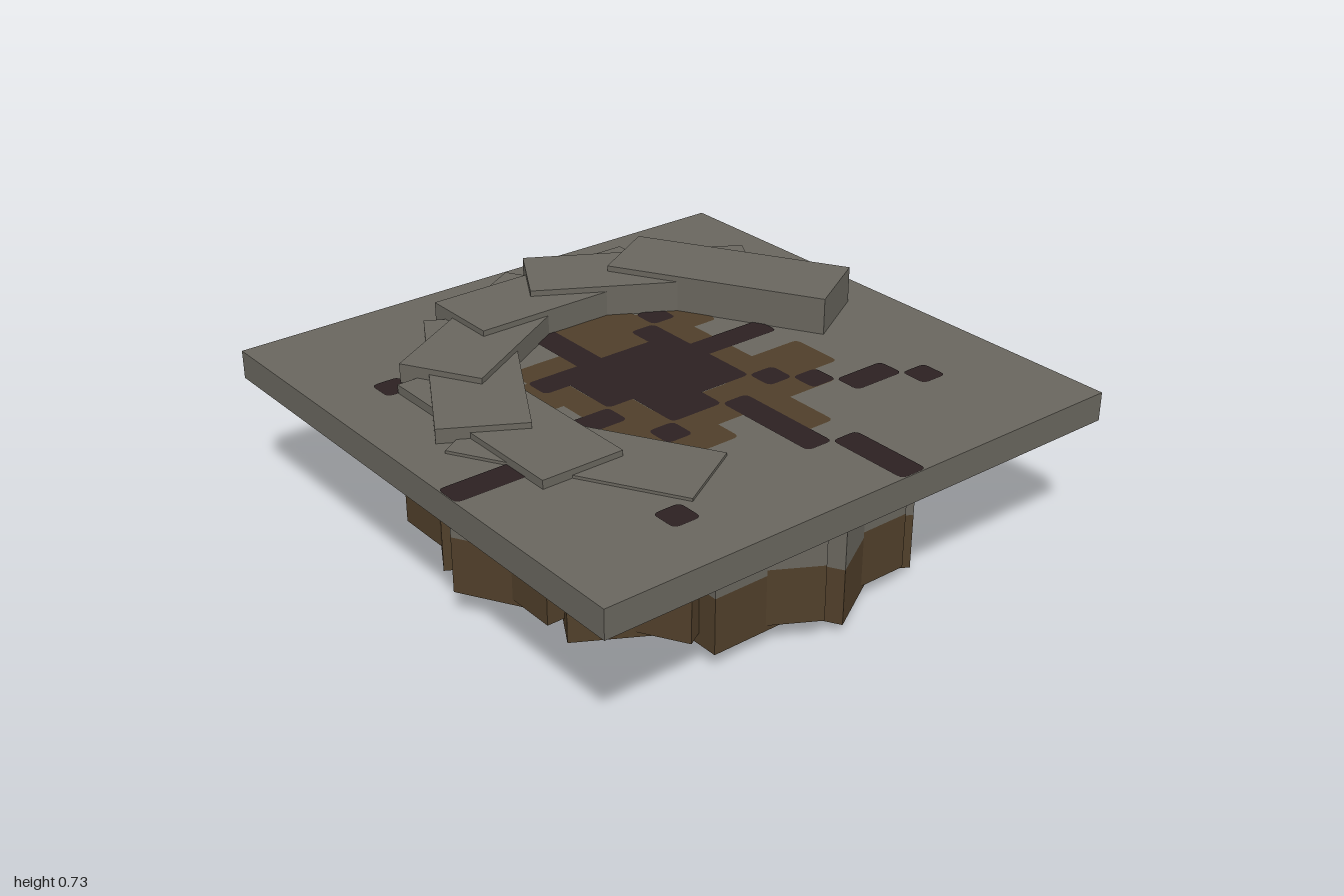
import * as THREE from 'three';
import { mergeGeometries } from 'three/addons/utils/BufferGeometryUtils.js';

// Stain map of the slab: 20 x 20 cells of 0.1, first row at the back (D dark, B brown)
const MAP = [
  '....................',
  '........D...........',
  '....................',
  '...............D....',
  '..............D.....',
  '.........D.BB.D.....',
  '......BB.D.BBD......',
  '......DBBDBBDB......',
  '.....BBDDDDDBBBB.DDD',
  '.....BBBDDDDBDDDD...',
  '.....BBBDDDDDB......',
  '.....DDDDDDDDBB.....',
  '.D.....BDDDBBDB.....',
  '.......BDBBDBB......',
  '........BB.D........',
  '.................D..',
  '....................',
  '.....D......D.......',
  '............D.......',
  '............D.......',
];
const cell = (c, r) => (MAP[r] && MAP[r][c]) || '.';

// Flat patch made of the cells for which inside(c, r) holds; free corners are rounded
function patch(inside, same, y) {
  const parts = [];
  const cut = 0.022, h = 0.05;
  for (let r = 0; r < 20; r++) for (let c = 0; c < 20; c++) {
    if (!inside(c, r)) continue;
    const x = -0.95 + c * 0.1, v = 0.95 - r * 0.1;
    const s = new THREE.Shape();
    // corners counter-clockwise: right-top, left-top, left-bottom, right-bottom
    [[1, 1], [-1, 1], [-1, -1], [1, -1]].forEach(([sx, sy], i) => {
      const px = x + sx * h, py = v + sy * h;
      const free = !same(c + sx, r) && !same(c, r - sy);
      const k = free ? cut : 0;
      const alongY = [px, py - sy * k], alongX = [px - sx * k, py];
      const [a, b] = i % 2 === 0 ? [alongY, alongX] : [alongX, alongY];
      if (i === 0) s.moveTo(...a); else s.lineTo(...a);
      if (free) s.quadraticCurveTo(px, py, ...b);
    });
    s.closePath();
    parts.push(new THREE.ShapeGeometry(s, 3));
  }
  return mergeGeometries(parts).rotateX(-Math.PI / 2).translate(0, y, 0);
}

export function createModel() {
  const model = new THREE.Group();
  model.name = 'sunkenSpiralStair';

  const material = (name, color) => {
    const m = new THREE.MeshStandardMaterial({ color });
    m.name = name;
    return m;
  };
  const stone = material('stone', 0x69665e);
  const earth = material('earth', 0x503f2a);
  const dark = material('darkSoil', 0x2c2122);

  const add = (parent, name, geometry, mat, x = 0, y = 0, z = 0) => {
    const mesh = new THREE.Mesh(geometry, mat);
    mesh.name = name;
    mesh.position.set(x, y, z);
    parent.add(mesh);
    return mesh;
  };

  // Ground slab
  const top = 0.595;
  add(model, 'slab', new THREE.BoxGeometry(2, 0.1, 2), stone, 0, top - 0.05, 0);

  // Stains on the slab; brown also runs under dark cells that it surrounds
  const brownCell = (c, r) => {
    if (cell(c, r) === 'B') return true;
    if (cell(c, r) !== 'D') return false;
    const around = [[1, 0], [-1, 0], [0, 1], [0, -1]];
    return around.filter(([i, j]) => cell(c + i, r + j) === 'B').length > 1;
  };
  const darkCell = (c, r) => cell(c, r) === 'D';
  add(model, 'brownStain', patch(brownCell, (c, r) => cell(c, r) !== '.', top + 0.0015), earth);
  add(model, 'darkStain', patch(darkCell, darkCell, top + 0.003), dark);

  // Twelve blocks in one descending turn, stone above and earth below
  const length = 0.795, width = 0.295, radius = 0.61, low = 0.2, high = 0.305;
  const stoneGeo = new THREE.BoxGeometry(length, high, width);
  const earthGeo = new THREE.BoxGeometry(length, low, width);
  const earthSides = [earth, earth, earth, stone, earth, earth]; // underside is stone
  for (let k = 1; k <= 12; k++) {
    const step = new THREE.Group();
    step.name = 'step' + k;
    step.rotation.y = k * Math.PI / 6;
    step.position.y = (12 - k) * 0.02;
    add(step, 'stepStone', stoneGeo, stone, 0.01, low + high / 2, -radius);
    add(step, 'stepEarth', earthGeo, earthSides, 0.01, low / 2, -radius);
    model.add(step);
  }
  return model;
}
